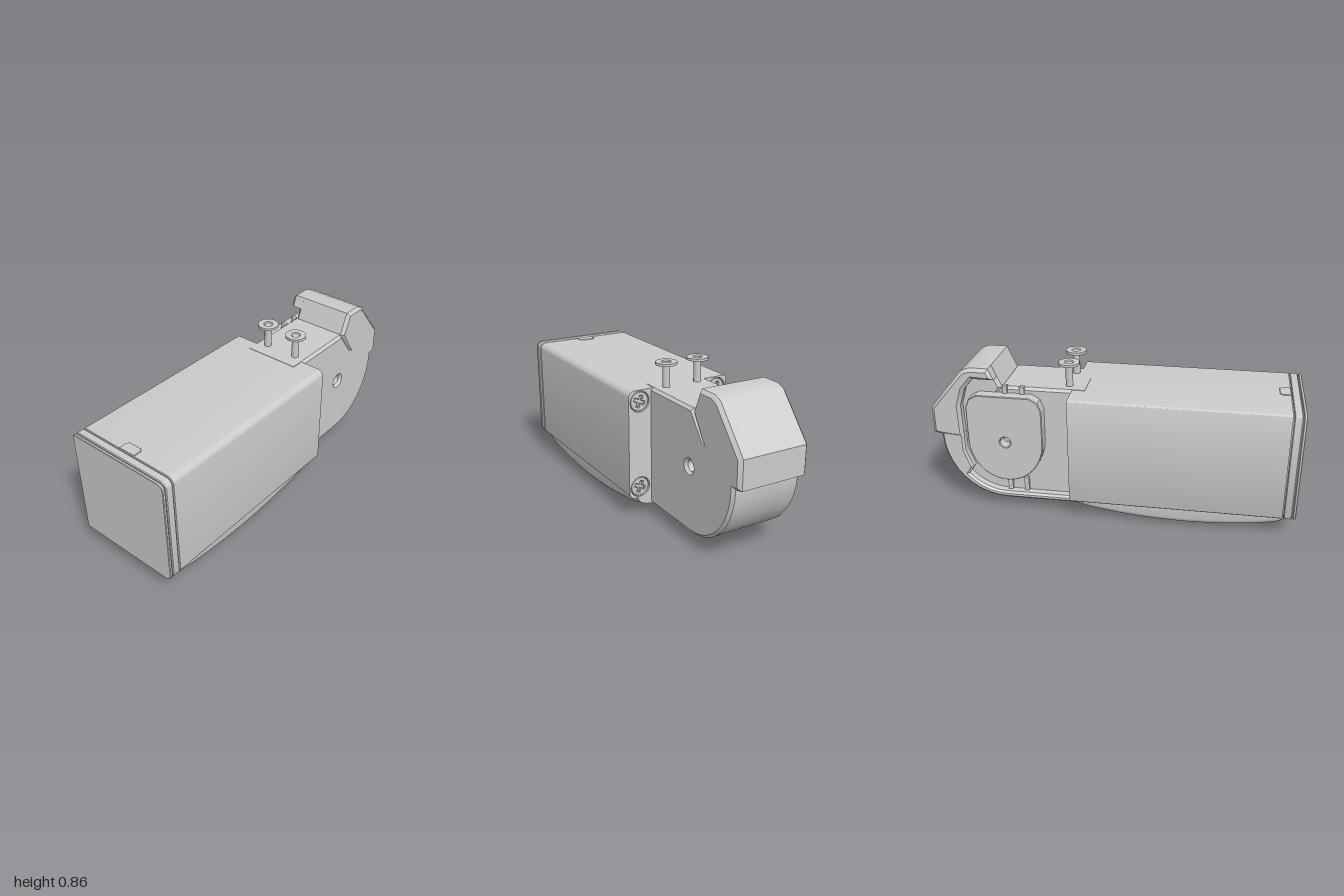
import * as THREE from 'three';
import { toCreasedNormals } from 'three/addons/utils/BufferGeometryUtils.js';

const material = new THREE.MeshStandardMaterial({ color: 0xcccccc });

function add(parent, name, geometry, x = 0, y = 0, z = 0) {
  const mesh = new THREE.Mesh(toCreasedNormals(geometry, 0.5), material);
  mesh.name = name;
  mesh.position.set(x, y, z);
  parent.add(mesh);
  return mesh;
}

const polygon = pts => new THREE.Shape(pts.map(p => new THREE.Vector2(...p)));

function circle(x, y, r) {
  return new THREE.Path().absarc(x, y, r, 0, Math.PI * 2, true);
}

// Extrusion from 0 to depth, with a chamfer that stays inside the outline
function extrude(shape, depth, bevel = 0, curveSegments = 10) {
  const g = new THREE.ExtrudeGeometry(shape, {
    depth: depth - 2 * bevel, curveSegments, bevelEnabled: bevel > 0,
    bevelSize: bevel, bevelThickness: bevel, bevelOffset: -bevel, bevelSegments: 1,
  });
  return g.translate(0, 0, bevel);
}

// Side profile drawn in (z, y), running from x = right down to x = left
function sidePart(parent, name, shape, left, right, bevel) {
  return add(parent, name, extrude(shape, right - left, bevel).rotateY(-Math.PI / 2), right);
}

// Ellipse points in (z, y), angles in degrees
function arc(cz, cy, rz, ry, a0, a1, n) {
  return Array.from({ length: n + 1 }, (_, i) => {
    const a = THREE.MathUtils.degToRad(a0 + (a1 - a0) * i / n);
    return [cz + rz * Math.cos(a), cy + ry * Math.sin(a)];
  });
}

// Body cross-section: larger corner radius on the model's left
function bodyOutline(inset = 0) {
  const l = -0.303 + inset, r = 0.303 - inset, b = 0.122 + inset, t = 0.728 - inset;
  const s = new THREE.Shape(), R = 0.036, q = 0.016, H = Math.PI / 2;
  s.absarc(r - R, t - R, R, 0, H, false);
  s.absarc(l + q, t - q, q, H, 2 * H, false);
  s.absarc(l + q, b + q, q, 2 * H, 3 * H, false);
  s.absarc(r - R, b + R, R, 3 * H, 4 * H, false);
  return s;
}

// Lofted belly: each section is [z, bottom y, half width]
function bellyGeometry() {
  const sections = [[0.98, 0.108, 0.262], [0.965, 0.09, 0.265], [0.9, 0.05, 0.266]];
  for (let i = 1; i <= 12; i++) {
    const z = 0.9 - i * 1.12 / 12;
    sections.push([z, 0.004 + 0.17 * (z - 0.4) ** 2, i === 12 ? 0.25 : 0.266]);
  }
  const top = 0.126, pos = [], idx = [], n = 16;
  for (const [z, b, w] of sections) {
    const ry = Math.min(0.05, (top - b) * 0.8), rx = 0.1;
    pos.push(w, top, z);
    for (let k = 0; k < 14; k++) {
      const side = k < 7 ? 1 : -1;
      const a = (k < 7 ? k : 13 - k) / 6 * Math.PI / 2;
      pos.push(side * (w - rx + rx * Math.cos(a)), b + ry - ry * Math.sin(a), z);
    }
    pos.push(-w, top, z);
  }
  for (let i = 0; i < sections.length - 1; i++) {
    for (let j = 0; j < n; j++) {
      const a = i * n + j, b = i * n + (j + 1) % n;
      idx.push(a, b, a + n, b, b + n, a + n);
    }
  }
  const last = (sections.length - 1) * n;
  for (let j = 1; j < n - 1; j++) idx.push(0, j + 1, j, last, last + j, last + j + 1);
  const g = new THREE.BufferGeometry();
  g.setAttribute('position', new THREE.Float32BufferAttribute(pos, 3));
  g.setIndex(idx);
  g.computeVertexNormals();
  return g;
}

// Cross-slotted screw facing -z
function crossScrew(parent, x, y) {
  const group = new THREE.Group();
  group.name = 'crossScrew';
  const head = new THREE.Shape().absarc(0, 0, 0.053, 0, Math.PI * 2, false);
  const a = 0.008, b = 0.031;
  const slot = [[a, a], [a, b], [-a, b], [-a, a], [-b, a], [-b, -a],
    [-a, -a], [-a, -b], [a, -b], [a, -a], [b, -a], [b, a]];
  head.holes.push(new THREE.Path(slot.map(p => new THREE.Vector2(...p))));
  add(group, 'screwHead', extrude(head, 0.018, 0.003, 16));
  add(group, 'slotFloor', new THREE.CylinderGeometry(0.05, 0.05, 0.006, 24).rotateX(Math.PI / 2), 0, 0, 0.015);
  group.position.set(x, y, -0.217);
  group.rotation.z = 0.4;
  parent.add(group);
}

export function createModel() {
  const model = new THREE.Group();
  model.name = 'device';
  const axle = [-0.585, 0.425];

  // Body, with counterbores for the screws in its back face
  const screws = [-0.238, 0.238].flatMap(x => [0.665, 0.185].map(y => [x, y]));
  const back = bodyOutline();
  for (const [x, y] of screws) back.holes.push(circle(x, y, 0.057));
  add(model, 'bodyBack', extrude(back, 0.03, 0, 12), 0, 0, -0.22);
  add(model, 'body', extrude(bodyOutline(), 1.12), 0, 0, -0.19);
  for (const [x, y] of screws) crossScrew(model, x, y);

  // Front cap with grooves either side
  add(model, 'capCore', extrude(bodyOutline(0.01), 0.06), 0, 0, 0.93);
  add(model, 'capFrame', extrude(bodyOutline(), 0.043, 0.004), 0, 0, 0.936);
  add(model, 'frontPlate', extrude(bodyOutline(), 0.016, 0.003), 0, 0, 0.984);
  const latch = polygon([[-0.05, 0], [-0.05, 0.045], [-0.037, 0.06], [0.037, 0.06], [0.05, 0.045], [0.05, 0]]);
  add(model, 'latchTab', extrude(latch, 0.006, 0.002).rotateX(-Math.PI / 2), 0, 0.726, 0.932);

  // Curved belly
  add(model, 'belly', bellyGeometry());

  // Head core
  const lowerCurve = arc(-0.6, 0.44, 0.35, 0.372, 180, 270, 10);
  const core = polygon([[-0.15, 0.73], [-0.6, 0.73], [-0.7, 0.6], [-0.95, 0.5],
    ...lowerCurve, [-0.15, 0.068]]);
  core.holes.push(circle(...axle, 0.03));
  sidePart(model, 'headCore', core, -0.17, 0.17, 0.015);

  // Hood at the top of the head, right part and the stepped left part
  const hoodOuter = [[-0.66, 0.843], [-0.765, 0.843], [-0.81, 0.825], [-0.995, 0.605], [-0.995, 0.45], [-0.95, 0.44]];
  sidePart(model, 'hood', polygon([[-0.605, 0.72], ...hoodOuter, [-0.8, 0.45], [-0.68, 0.6]]), -0.17, 0.17, 0.018);
  const recess = [[-0.825, 0.43], [-0.83, 0.62], [-0.8, 0.72], [-0.75, 0.78], [-0.633, 0.78]];
  sidePart(model, 'hoodSide', polygon([...hoodOuter, ...recess]), -0.228, -0.12, 0.018);

  // Thin rim around the open left side
  sidePart(model, 'headRim', polygon([...lowerCurve, [-0.18, 0.068], [-0.18, 0.105],
    ...arc(-0.6, 0.44, 0.3, 0.335, 270, 225, 5), [-0.785, 0.245], [-0.825, 0.35], [-0.825, 0.46], [-0.95, 0.46]]),
  -0.222, -0.12, 0.012);

  // D-shaped side cover with an axle hole
  const cover = polygon([[-0.375, 0.425], [-0.375, 0.62], [-0.395, 0.67], [-0.44, 0.695],
    [-0.73, 0.695], [-0.775, 0.67], [-0.795, 0.62], ...arc(-0.585, 0.425, 0.21, 0.235, 180, 348, 16)]);
  cover.holes.push(circle(...axle, 0.03));
  sidePart(model, 'sideCover', cover, -0.235, -0.165, 0.004);

  // Ribs behind the cover
  for (const z of [-0.49, -0.585]) {
    add(model, 'topRib', new THREE.BoxGeometry(0.028, 0.16, 0.026), -0.168, 0.658, z);
    add(model, 'bottomRib', new THREE.BoxGeometry(0.028, 0.1, 0.026), -0.172, 0.14, z);
  }

  // Tall bolts through the head, with flush ends underneath
  const lathe = pts => new THREE.LatheGeometry(pts.map(p => new THREE.Vector2(...p)), 28);
  for (const x of [-0.097, 0.094]) {
    add(model, 'boltShaft', new THREE.CylinderGeometry(0.02, 0.02, 0.2, 20), x, 0.76, -0.245);
    add(model, 'boltHead', lathe([[0, 0.851], [0.057, 0.851], [0.057, 0.865], [0.026, 0.865], [0.02, 0.855], [0, 0.855]]), x, 0, -0.245);
    add(model, 'boltEnd', lathe([[0, 0.066], [0.018, 0.066], [0.022, 0.061], [0.04, 0.061], [0.048, 0.07], [0, 0.08]]), x, 0, -0.272);
  }
  return model;
}
